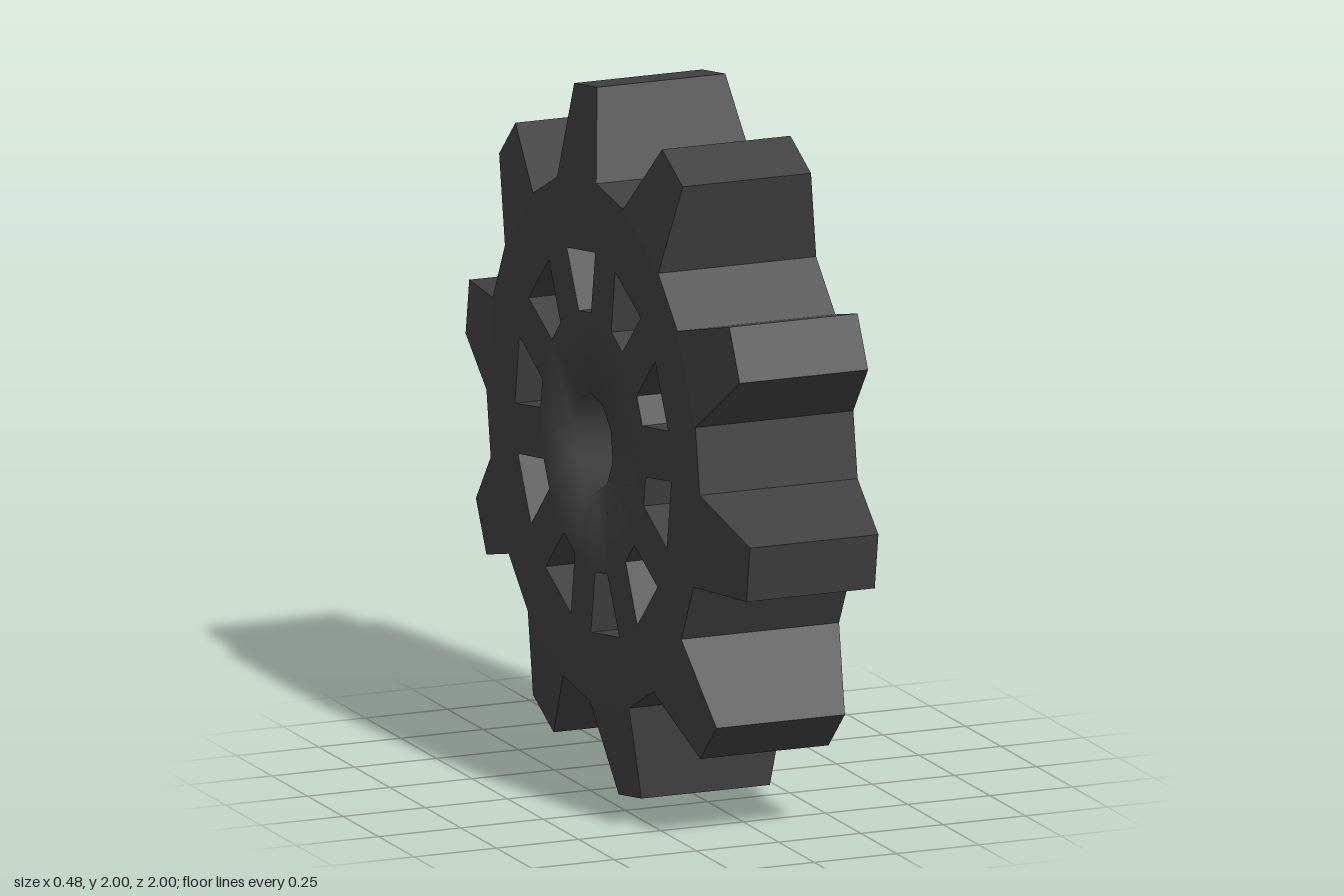
import * as THREE from 'three';
import { mergeVertices } from 'three/addons/utils/BufferGeometryUtils.js';

const TEETH = 10, STEP = 360 / TEETH, START = 9;
const HALF = 0.24, TIP_HALF = 0.195; // half thickness of the disc and of the tooth tips

// Outline point: radius, angle in degrees clockwise from the top, half thickness
const pt = (r, deg, half = HALF) => {
  const a = THREE.MathUtils.degToRad(deg);
  return { y: 1 + r * Math.cos(a), z: -r * Math.sin(a), half };
};

// Collects polygons and turns them into one mesh
class Part {
  constructor() { this.pos = []; }
  poly(...v) {
    for (let i = 1; i < v.length - 1; i++) this.pos.push(...v[0], ...v[i], ...v[i + 1]);
  }
  // The same flat panel on the +x and -x sides (points counterclockwise seen from +x)
  panels(...p) {
    this.poly(...p.map(q => [q.half, q.y, q.z]));
    this.poly(...p.map(q => [-q.half, q.y, q.z]).reverse());
  }
  // Walls across the thickness along a path, facing left of the travel direction
  walls(...p) {
    for (let i = 0; i < p.length - 1; i++) {
      const a = p[i], b = p[i + 1];
      this.poly([a.half, a.y, a.z], [b.half, b.y, b.z], [-b.half, b.y, b.z], [-a.half, a.y, a.z]);
    }
  }
  mesh(name, material, smooth = false) {
    let g = new THREE.BufferGeometry();
    g.setAttribute('position', new THREE.Float32BufferAttribute(this.pos, 3));
    if (smooth) g = mergeVertices(g, 1e-4);
    g.computeVertexNormals();
    const m = new THREE.Mesh(g, material);
    m.name = name;
    return m;
  }
}

export function createModel() {
  const material = new THREE.MeshStandardMaterial({ color: 0x404040 });
  const rim = new Part(), teeth = new Part(), spokes = new Part(), hub = new Part();

  for (let i = 0; i < TEETH; i++) {
    const c = START + i * STEP, n = c + STEP;
    // Left and right corners of this sector, and the left corners of the next one
    const rootL = pt(0.75, c - 10.7), rootR = pt(0.75, c + 10.7), rootN = pt(0.75, n - 10.7);
    const tipL = pt(1.003, c - 4.65, TIP_HALF), tipR = pt(1.003, c + 4.65, TIP_HALF);
    const outL = pt(0.55, c - 10.6), outR = pt(0.55, c + 10.6), outN = pt(0.55, n - 10.6);
    const inL = pt(0.37, c - 6.7), inR = pt(0.37, c + 6.7), inN = pt(0.37, n - 6.7);
    const bore = pt(0.14, c), boreN = pt(0.14, n);

    // Tapered tooth
    teeth.panels(rootL, rootR, tipR, tipL);
    teeth.walls(rootL, tipL, tipR, rootR);

    // Rim: sides, floor of the gap between teeth, outer wall of the window
    rim.panels(outL, outR, rootR, rootL);
    rim.panels(outR, outN, rootN, rootR);
    rim.walls(rootR, rootN);
    rim.walls(outR, outL);

    // Spoke sides and the remaining window walls
    spokes.panels(inR, inN, outN, outR);
    spokes.walls(outL, inL, inR, outR);

    // Hub with a ten-sided, softly shaded bore
    hub.panels(bore, inR, inL);
    hub.panels(bore, boreN, inN, inR);
    hub.walls(boreN, bore);
  }

  const gear = new THREE.Group();
  gear.name = 'gearWheel';
  gear.add(
    rim.mesh('rim', material),
    teeth.mesh('teeth', material),
    spokes.mesh('spokes', material),
    hub.mesh('hub', material, true),
  );
  return gear;
}
